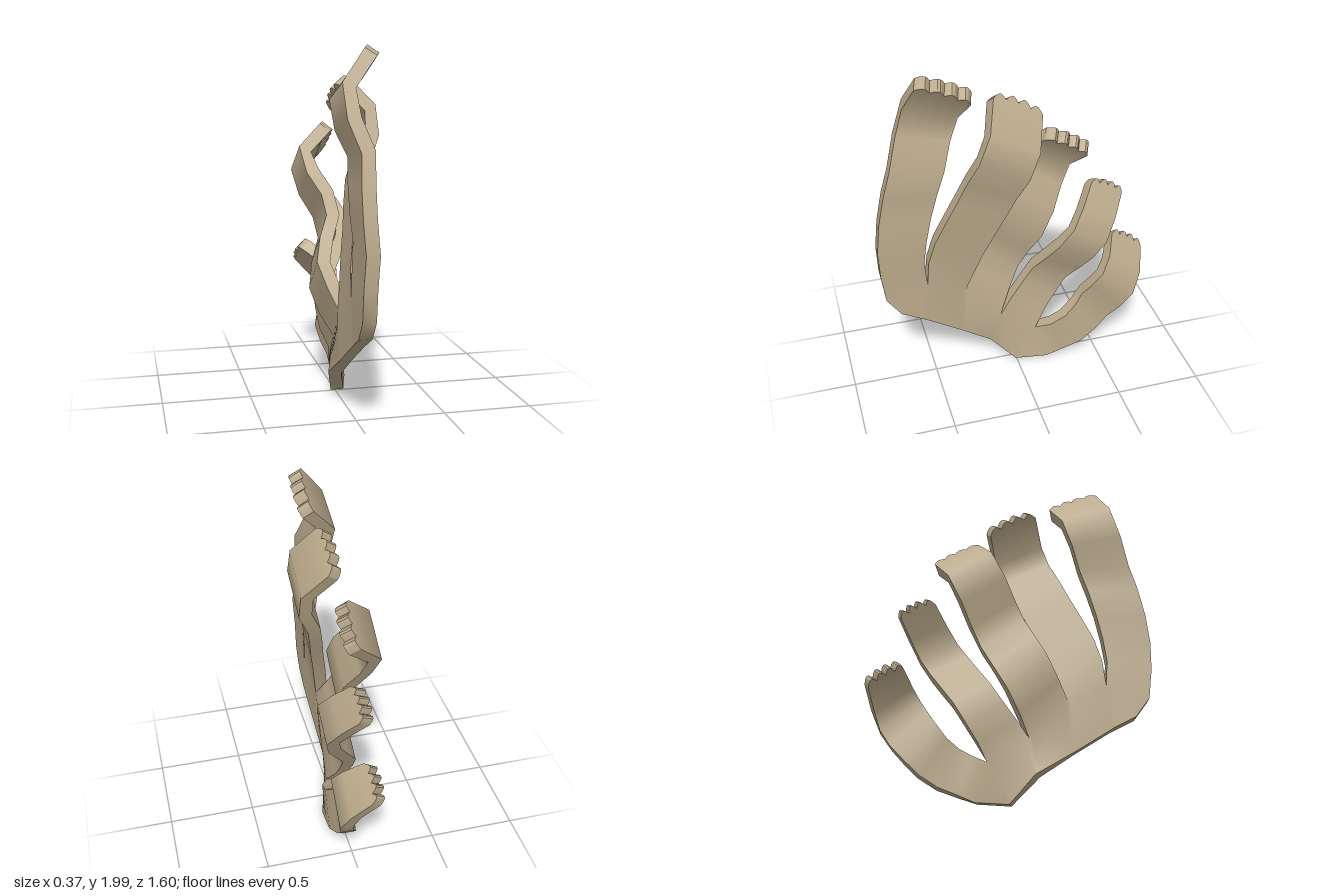
import * as THREE from 'three';
import { toCreasedNormals } from 'three/addons/utils/BufferGeometryUtils.js';

const HALF = 0.037;   // half thickness of the blade
const COLS = 20;      // divisions across a frond
const BUMPS = 4;      // scallops at each tip

// Palm border and the notches between fronds, front to back: z, y, x
const palm = [[.69, .5, 0], [.56, .43, 0], [.32, .27, -.02], [.14, .15, -.035], [0, 0, .01], [0, 0, .01]];
const notches = [[.77, .61, 0], [.53, .68, 0], [.31, .57, -.02], [.1, .36, 0], [-.12, .23, .02], [-.18, .02, .06]];

// Fronds: edge points (z, y) above the notches, and sideways bends at even steps to the tip
const fronds = [
  { left: [[.8, .92], [.74, 1.3], [.54, 1.95]], right: [[.54, .87], [.43, 1.33], [.25, 1.83]],
    bends: [0, .01, 0, 0, .01, -.05, -.065, .06] },
  { left: [[.5, .9], [.3, 1.36], [.14, 1.79]], right: [[.2, .85], [0, 1.28], [-.13, 1.65]],
    bends: [0, .02, .045, .065, .09, .15, .15, .02] },
  { left: [[.17, .85], [0, 1.2], [-.18, 1.52]], right: [[-.08, .7], [-.26, 1.06], [-.43, 1.38]],
    bends: [-.07, -.11, -.08, -.03, -.05, -.12, -.15, -.02] },
  { left: [[-.11, .65], [-.26, .9], [-.44, 1.16]], right: [[-.31, .53], [-.47, .79], [-.63, 1.06]],
    bends: [-.02, -.03, -.03, .03, .09, .115, .06, -.02] },
  { left: [[-.34, .36], [-.47, .55], [-.6, .75]], right: [[-.48, .15], [-.7, .4], [-.79, .63]],
    bends: [.065, .07, .05, .035, .07, .09, .05, -.05] },
];

const toVector = ([z, y, x = 0]) => new THREE.Vector3(x, y, z);

// One side of a frond: palm point, notch point, then the bent edge
function edge(f, side, points, bends) {
  const curve = new THREE.CatmullRomCurve3([notches[f + side], ...points].map(toVector));
  const bent = bends.map((x, i) => curve.getPointAt((i + 1) / bends.length).setX(x));
  return [toVector(palm[f + side]), toVector(notches[f + side]), ...bent];
}

function sheet(position, index) {
  const g = new THREE.BufferGeometry();
  g.setAttribute('position', new THREE.Float32BufferAttribute(position, 3));
  if (index) g.setIndex(index);
  g.computeVertexNormals();
  return g;
}

export function createModel() {
  const points = [], index = [], flipped = [], rim = [], seen = new Map();
  // Shared corners are welded so the palm is one smooth sheet
  const vertex = v => {
    const key = v.toArray().map(n => Math.round(n * 1e4)).join();
    if (!seen.has(key)) {
      seen.set(key, points.length / 3);
      points.push(...v.toArray());
    }
    return seen.get(key);
  };

  fronds.forEach(({ left, right, bends }, f) => {
    const L = edge(f, 0, left, bends), R = edge(f, 1, right, bends);
    const last = L.length - 1;
    // Scallops push out along the direction of the tip
    const out = L[last].clone().add(R[last]).sub(L[last - 1]).sub(R[last - 1]).normalize();
    const grid = L.map((a, r) => Array.from({ length: COLS + 1 }, (_, c) => {
      const u = c / COLS, p = a.clone().lerp(R[r], u);
      if (r === last) {
        p.addScaledVector(out, .03 * Math.abs(Math.sin(Math.PI * BUMPS * u)) + .02 * Math.sin(Math.PI * u));
      }
      return vertex(p);
    }));
    for (let r = 0; r < last; r++) {
      for (let c = 0; c < COLS; c++) {
        const a = grid[r][c], b = grid[r][c + 1], d = grid[r + 1][c], e = grid[r + 1][c + 1];
        index.push(a, b, e, a, e, d);
        flipped.push(a, e, b, a, d, e);
      }
      // Side edges, except where neighbouring fronds join in the palm
      if (r > 0 || f === fronds.length - 1) rim.push([grid[r][COLS], grid[r + 1][COLS]]);
      if (r > 0 || f === 0) rim.push([grid[r + 1][0], grid[r][0]]);
    }
    // Base and scalloped tip edges
    for (let c = 0; c < COLS; c++) {
      if (grid[0][c] !== grid[0][c + 1]) rim.push([grid[0][c], grid[0][c + 1]]);
      rim.push([grid[last][c + 1], grid[last][c]]);
    }
  });

  // Thicken the middle sheet along its normals
  const normals = sheet(points, index).attributes.normal.array;
  const offset = s => points.map((v, i) => v + s * HALF * normals[i]);
  const outer = offset(1), inner = offset(-1);

  // Wall joining both faces around the outline
  const at = (arr, i) => arr.slice(i * 3, i * 3 + 3);
  const wall = rim.flatMap(([p, q]) => [
    ...at(inner, p), ...at(inner, q), ...at(outer, q),
    ...at(inner, p), ...at(outer, q), ...at(outer, p),
  ]);

  const material = new THREE.MeshStandardMaterial({ color: 0xbcab8c });
  const group = new THREE.Group();
  group.name = 'wavyFan';
  const add = (name, geometry) => {
    const mesh = new THREE.Mesh(geometry, material);
    mesh.name = name;
    group.add(mesh);
  };
  add('leftFace', sheet(outer, index));
  add('rightFace', sheet(inner, flipped));
  add('rim', toCreasedNormals(sheet(wall), 0.5));
  return group;
}
